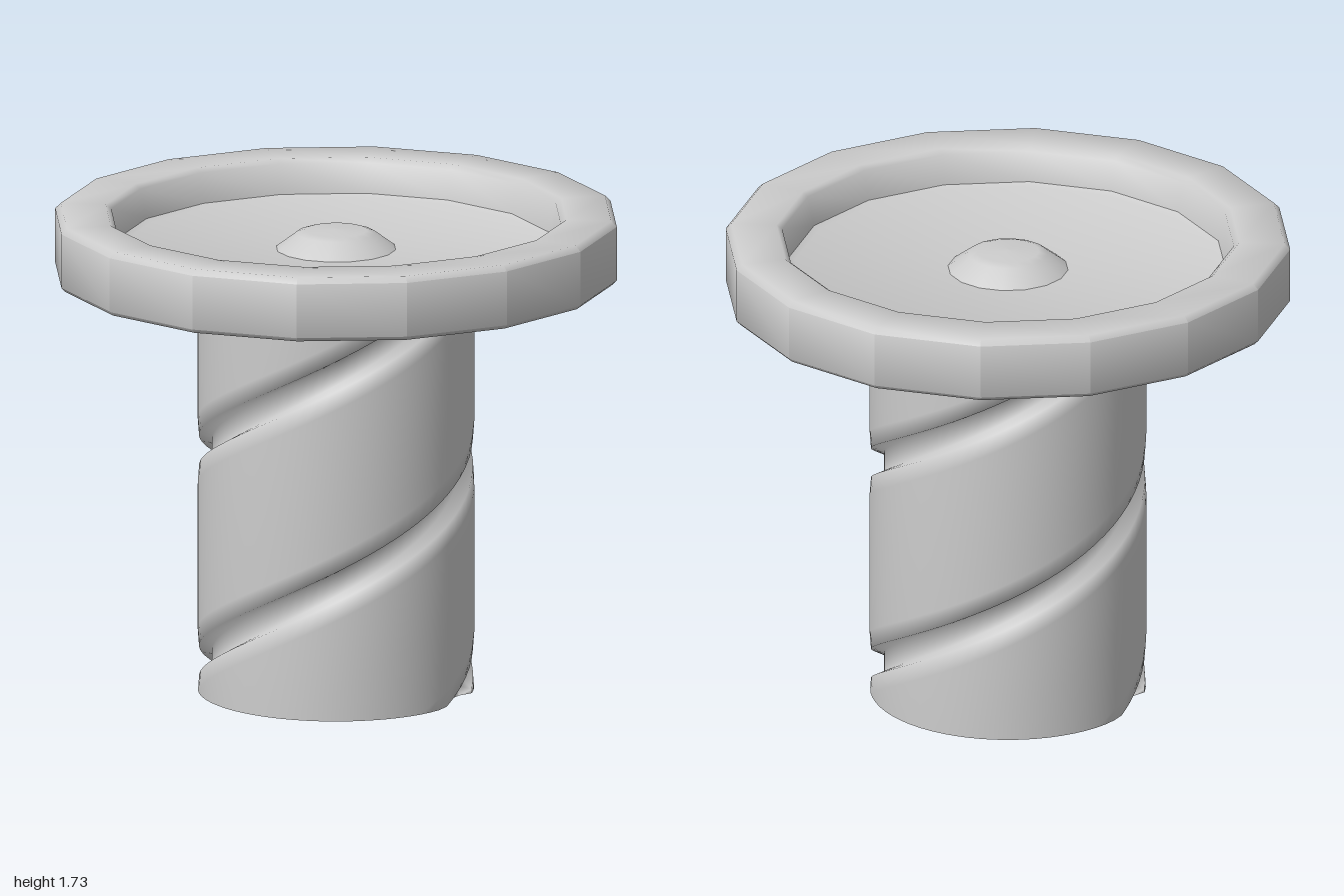
import * as THREE from 'three';
import { mergeVertices, toCreasedNormals } from 'three/addons/utils/BufferGeometryUtils.js';

const TOP = 1.505;     // column height, where the tray begins
const PITCH = 0.765;   // vertical gap between neighbouring grooves (two-start helix)
const START = 0.355;   // groove centre height at the front

// Groove cross-section: [offset from groove centre, radius]
const GROOVE = [
  [-0.38, 0.488], [-0.12, 0.488], [-0.055, 0.483], [-0.042, 0.437],
  [0.042, 0.437], [0.055, 0.483], [0.12, 0.488], [0.385, 0.488],
];

function grooveRadius(offset) {
  for (let i = 1; i < GROOVE.length; i++) {
    const [a, ra] = GROOVE[i - 1], [b, rb] = GROOVE[i];
    if (offset <= b) return THREE.MathUtils.lerp(ra, rb, THREE.MathUtils.clamp((offset - a) / (b - a), 0, 1));
  }
  return 0.488;
}

// Open tube whose rows of vertices follow the grooves, trimmed at both ends
function columnGeometry(segments) {
  const positions = [], index = [];
  const rows = [];
  for (let k = -3; k <= 2; k++) {
    for (const [offset] of GROOVE.slice(0, -1)) rows.push([k, offset]);
  }
  for (let i = 0; i <= segments; i++) {
    const angle = ((i % segments) / segments) * Math.PI * 2;
    const rise = START + (i / segments) * 2 * PITCH;
    for (const [k, offset] of rows) {
      const centre = rise + k * PITCH;
      const y = THREE.MathUtils.clamp(centre + offset, 0, TOP);
      // nearest groove decides the radius after trimming
      const d = y - rise;
      const r = grooveRadius(d - Math.round(d / PITCH) * PITCH);
      positions.push(Math.sin(angle) * r, y, Math.cos(angle) * r);
    }
  }
  const n = rows.length;
  for (let i = 0; i < segments; i++) {
    for (let j = 0; j < n - 1; j++) {
      const a = i * n + j, b = a + n;
      index.push(a, b, b + 1, a, b + 1, a + 1);
    }
  }
  const geometry = new THREE.BufferGeometry();
  geometry.setAttribute('position', new THREE.Float32BufferAttribute(positions, 3));
  geometry.setIndex(index);
  const merged = mergeVertices(geometry, 1e-4);
  merged.computeVertexNormals();
  return merged;
}

function lathe(profile, segments) {
  return new THREE.LatheGeometry(profile.map(([r, y]) => new THREE.Vector2(r, y)), segments);
}

export function createModel() {
  const model = new THREE.Group();
  model.name = 'groovedPedestal';
  const grey = new THREE.MeshStandardMaterial({ color: 0xcccccc, side: THREE.DoubleSide });
  grey.name = 'plainGrey';

  const add = (name, geometry) => {
    const mesh = new THREE.Mesh(geometry, grey);
    mesh.name = name;
    model.add(mesh);
  };

  // Hollow column with spiral grooves
  add('spiralColumn', columnGeometry(64));

  // Sixteen-sided tray with a raised rim and a sunken floor
  add('tray', toCreasedNormals(lathe([
    [0, 1.5], [0.985, 1.5], [1, 1.515], [1, 1.71], [0.98, 1.73],
    [0.82, 1.73], [0.8, 1.715], [0.775, 1.61], [0.755, 1.6], [0, 1.6],
  ], 16), 0.85));

  // Low button in the middle of the floor
  add('centreButton', lathe([
    [0.215, 1.598], [0.2, 1.61], [0.14, 1.655], [0.11, 1.665], [0, 1.67],
  ], 16));

  return model;
}
